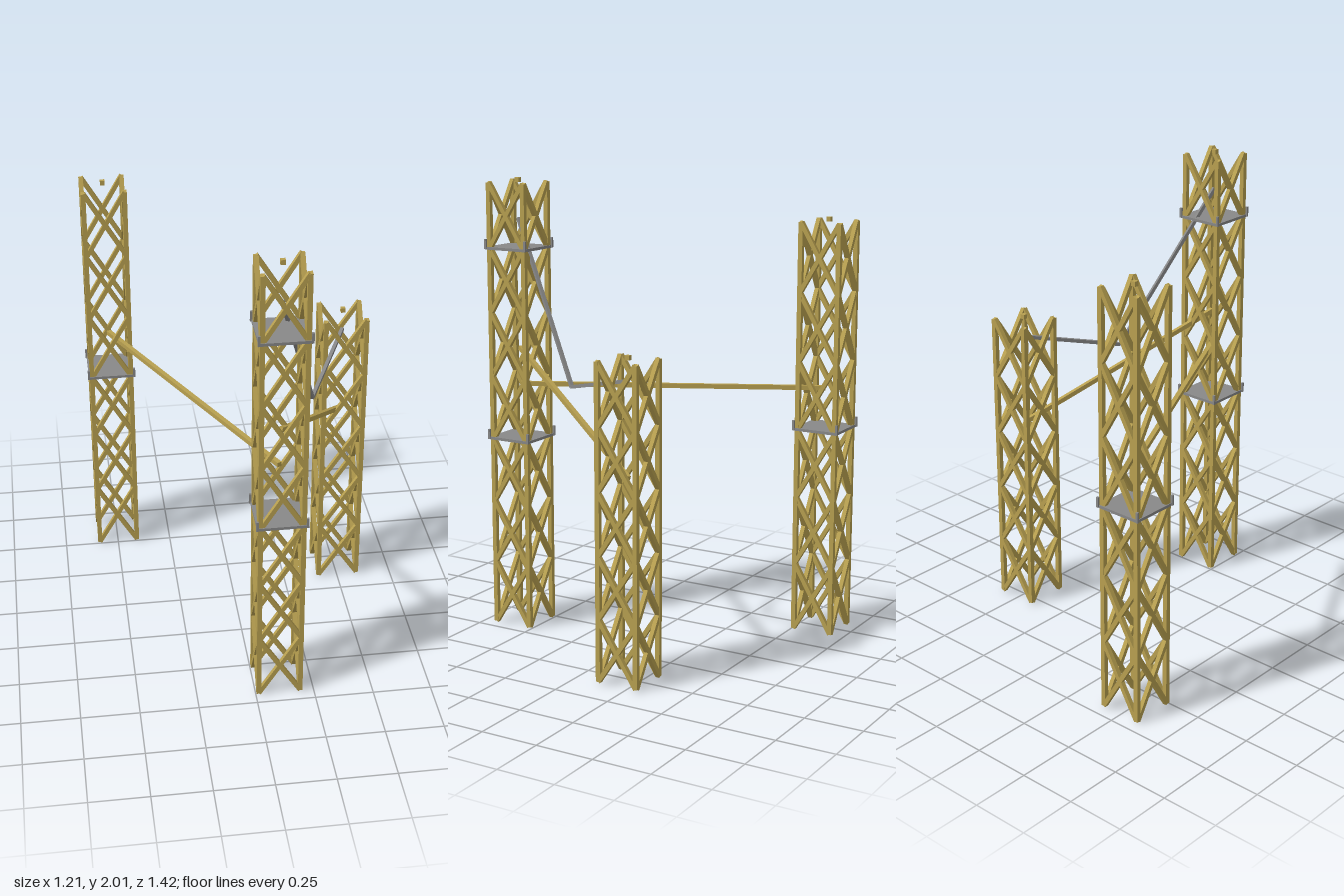
import * as THREE from 'three';

const gold = new THREE.MeshStandardMaterial({ color: 0xb8a050 });
gold.name = 'weathered gold';
const grey = new THREE.MeshStandardMaterial({ color: 0x888888 });
grey.name = 'steel grey';

function box(parent, name, material, size, position) {
  const mesh = new THREE.Mesh(new THREE.BoxGeometry(...size), material);
  mesh.name = name;
  mesh.position.set(...position);
  parent.add(mesh);
}

// Square bar running from point a to point b, turned before it joins its parent
function bar(parent, name, material, a, b, thickness) {
  const start = new THREE.Vector3(...a);
  const end = new THREE.Vector3(...b);
  const mesh = new THREE.Mesh(new THREE.BoxGeometry(thickness, thickness, start.distanceTo(end)), material);
  mesh.name = name;
  mesh.position.lerpVectors(start, end, 0.5);
  mesh.lookAt(end);
  parent.add(mesh);
}

const HALF = 0.089; // centre of a leg from the tower axis
const THICK = 0.02;

function makeTower(name, x, z, height, bays, platforms) {
  const tower = new THREE.Group();
  tower.name = name;
  const bay = height / bays;

  // Four identical sides, each with one leg and a column of crossed braces
  for (let side = 0; side < 4; side++) {
    const face = new THREE.Group();
    face.name = 'latticeSide';
    face.rotation.y = side * Math.PI / 2;
    box(face, 'leg', gold, [THICK, height, THICK], [HALF, height / 2, HALF]);
    for (let i = 0; i < bays; i++) {
      for (const s of [-1, 1]) {
        bar(face, 'brace', gold, [-s * HALF, i * bay, HALF], [s * HALF, (i + 1) * bay, HALF], 0.019);
      }
    }
    tower.add(face);
  }

  // Beacon above the open top
  box(tower, 'beacon', gold, [0.02, 0.02, 0.02], [0, height + 0.01, 0]);

  // Platforms with a short post on each corner
  for (const y of platforms) {
    box(tower, 'platform', grey, [0.206, 0.012, 0.206], [0, y, 0]);
    for (const sx of [-1, 1]) {
      for (const sz of [-1, 1]) {
        box(tower, 'platformPost', grey, [0.01, 0.044, 0.01], [sx * 0.103, y + 0.018, sz * 0.103]);
      }
    }
  }
  tower.position.set(x, 0, z);
  return tower;
}

export function createModel() {
  const model = new THREE.Group();
  model.name = 'latticeTowers';

  model.add(
    makeTower('rearTower', -0.498, -0.6, 1.82, 6, [0.915]),
    makeTower('frontTower', 0.102, 0.602, 1.98, 7, [0.853, 1.697]),
    makeTower('shortTower', 0.503, -0.2, 1.337, 5, [])
  );

  // Beams linking the towers
  bar(model, 'levelBeam', gold, [-0.498, 1.093, -0.6], [0.102, 1.093, 0.602], 0.02);
  bar(model, 'slopingBeam', gold, [0.102, 1.255, 0.602], [0.503, 0.853, -0.2], 0.02);

  // Sagging cable in two spans
  bar(model, 'cable', grey, [0.102, 1.825, 0.602], [0.303, 1.153, 0.2], 0.015);
  bar(model, 'cable', grey, [0.303, 1.153, 0.2], [0.503, 1.253, -0.2], 0.015);

  return model;
}
